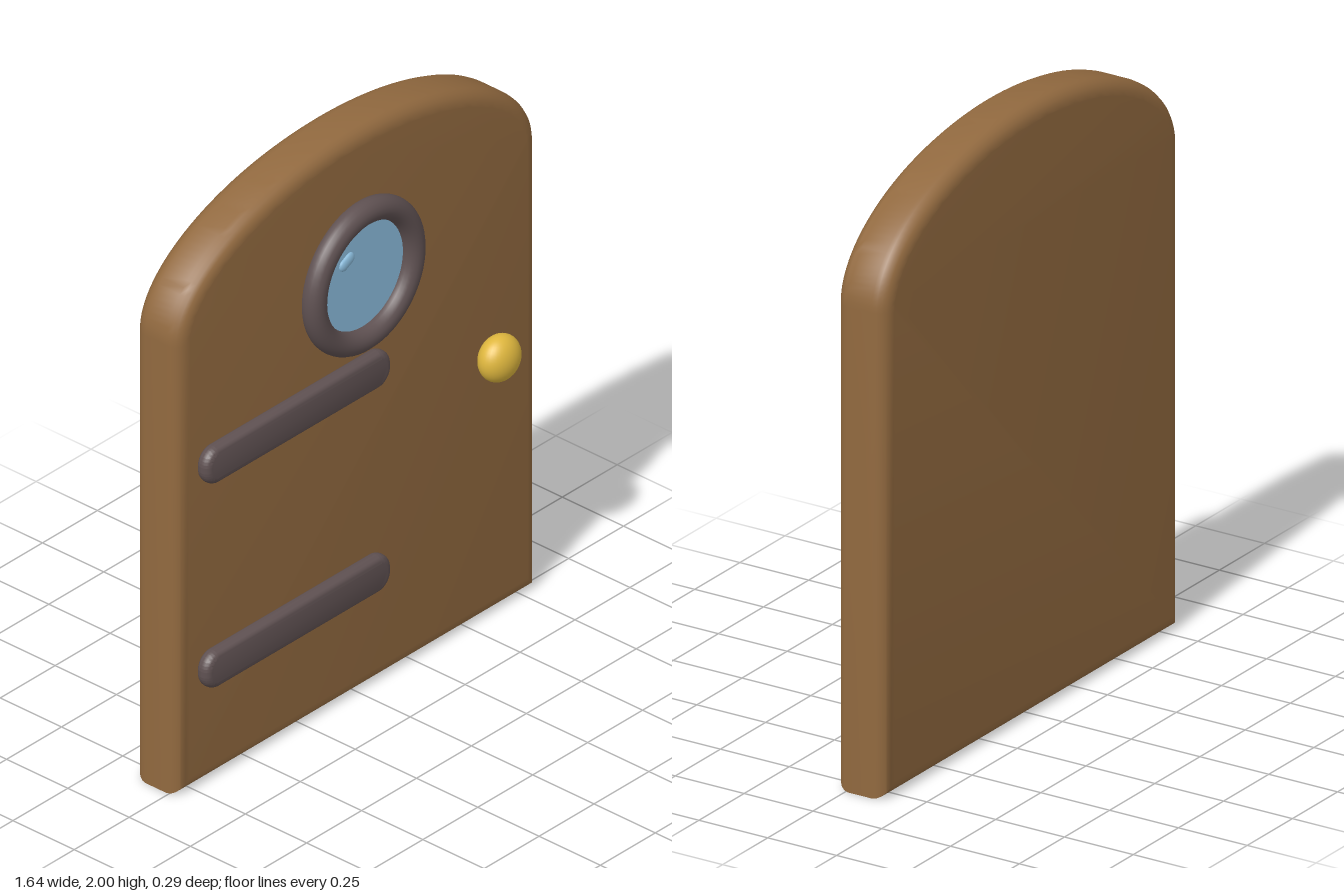
import * as THREE from 'three';
import { mergeVertices, toCreasedNormals } from 'three/addons/utils/BufferGeometryUtils.js';

const paint = (name, color) => {
  const m = new THREE.MeshStandardMaterial({ color });
  m.name = name;
  return m;
};

// Extrude a shape between two depths with a rounded edge kept inside the outline
function roundedSlab(shape, back, front, bevel, crease) {
  let g = new THREE.ExtrudeGeometry(shape, {
    depth: front - back - 2 * bevel, bevelThickness: bevel, bevelSize: bevel,
    bevelOffset: -bevel, bevelSegments: 5, curveSegments: 32,
  });
  g.translate(0, 0, back + bevel);
  g.deleteAttribute('normal');
  g.deleteAttribute('uv');
  g = mergeVertices(g, 1e-4);
  return toCreasedNormals(g, crease);
}

export function createModel() {
  const wood = paint('wood brown', 0x91693f);
  const iron = paint('dark iron', 0x5f5152);
  const glass = paint('window blue', 0x8abbdb);
  const brass = paint('brass yellow', 0xdfb73e);

  const door = new THREE.Group();
  door.name = 'door';
  const add = (name, geometry, material, x = 0, y = 0, z = 0) => {
    const mesh = new THREE.Mesh(geometry, material);
    mesh.name = name;
    mesh.position.set(x, y, z);
    door.add(mesh);
    return mesh;
  };

  // Arched door leaf
  const leaf = new THREE.Shape();
  leaf.moveTo(-0.82, 0);
  leaf.lineTo(0.82, 0);
  leaf.lineTo(0.82, 1.6);
  leaf.absellipse(0, 1.6, 0.82, 0.4, 0, Math.PI, false);
  leaf.lineTo(-0.82, 0);
  add('leaf', roundedSlab(leaf, -0.145, 0.04, 0.05, 0.7), wood);

  // Two hinge straps with rounded ends
  const w = 0.4225, h = 0.065, r = 0.06;
  const strap = new THREE.Shape();
  strap.absarc(w - r, h - r, r, 0, Math.PI / 2);
  strap.absarc(-w + r, h - r, r, Math.PI / 2, Math.PI);
  strap.absarc(-w + r, -h + r, r, Math.PI, Math.PI * 1.5);
  strap.absarc(w - r, -h + r, r, Math.PI * 1.5, Math.PI * 2);
  const strapGeometry = roundedSlab(strap, 0.034, 0.087, 0.024, 0.7);
  add('upperStrap', strapGeometry, iron, -0.3175, 1.145);
  add('lowerStrap', strapGeometry, iron, -0.3175, 0.415);

  // Round window: frame, pane and a small raised glint
  add('windowFrame', new THREE.TorusGeometry(0.224, 0.04, 20, 64), iron, 0, 1.5, 0.059);
  add('windowPane', new THREE.CircleGeometry(0.21, 48), glass, 0, 1.5, 0.055);
  const glint = add('windowGlint', new THREE.CapsuleGeometry(0.021, 0.028, 8, 16), glass, -0.072, 1.58, 0.055);
  glint.rotation.z = -1.1;
  glint.scale.z = 0.5;

  // Slightly flattened knob
  const knob = add('knob', new THREE.SphereGeometry(0.078, 32, 24), brass, 0.588, 0.945, 0.087);
  knob.scale.z = 0.74;

  return door;
}
